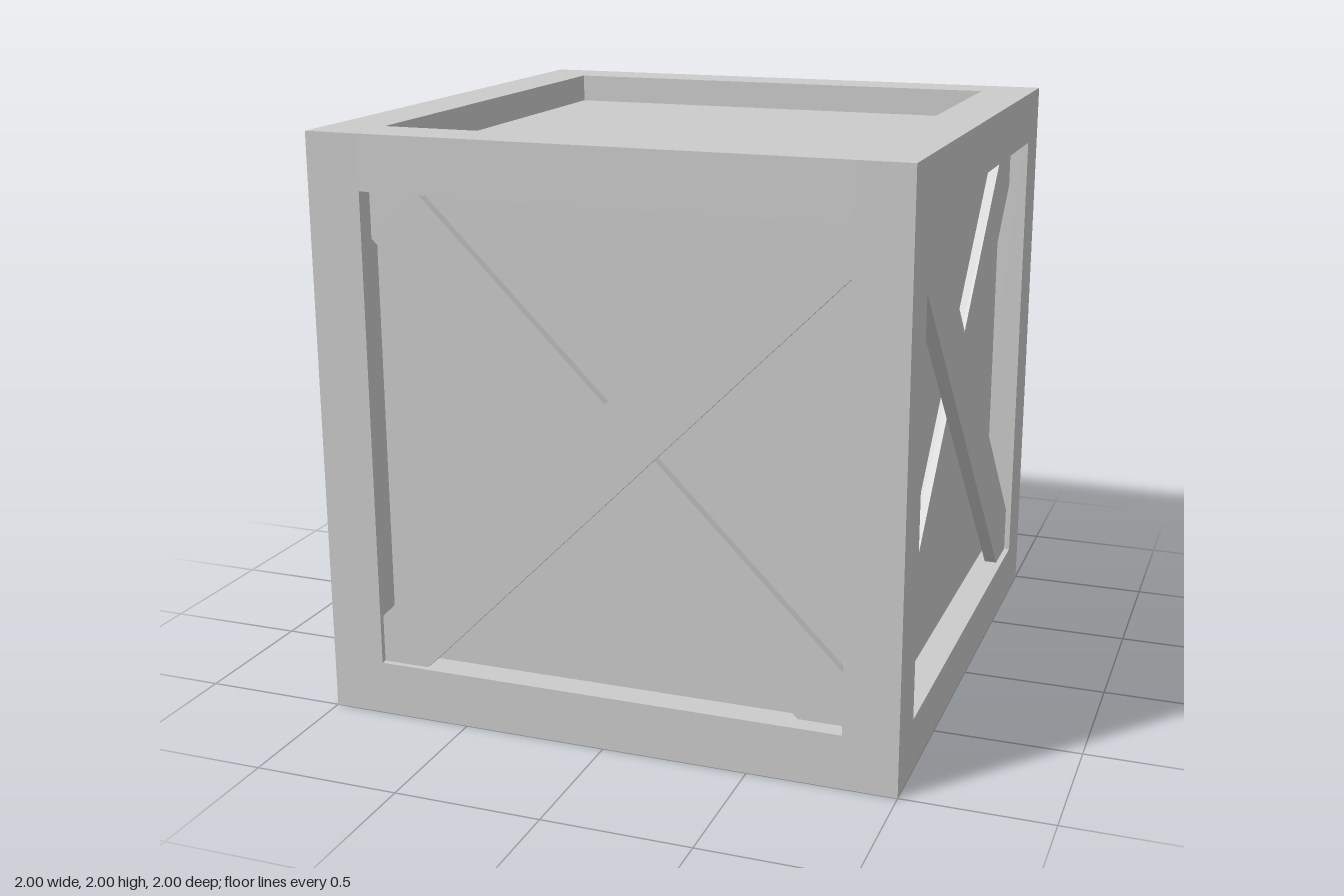
import * as THREE from 'three';

const OUT = 1, IN = 0.815;          // frame outer and inner half sizes
const BEAM = OUT - IN;
const PANEL = 0.9;                  // panel half size
const OVER = 0.98, UNDER = 0.935;   // front planes of the crossing braces
const BAND = 0.165;                 // brace width measured along an axis

export function createModel() {
  const wood = new THREE.MeshStandardMaterial({ color: 0xcccccc });
  wood.name = 'grey';
  const crate = new THREE.Group();
  crate.name = 'crate';

  const box = (name, w, h, d, x, y, z) => {
    const mesh = new THREE.Mesh(new THREE.BoxGeometry(w, h, d), wood);
    mesh.name = name;
    mesh.position.set(x, y, z);
    crate.add(mesh);
  };

  // Recessed panels on all six sides
  box('panels', 2 * PANEL, 2 * PANEL, 2 * PANEL, 0, 1, 0);

  // Corner posts and the horizontal rails between them
  const c = OUT - BEAM / 2;
  for (const a of [-c, c]) {
    for (const b of [-c, c]) {
      box('cornerPost', BEAM, 2 * OUT, BEAM, a, 1, b);
      box('crossRail', 2 * IN, BEAM, BEAM, 0, 1 + a, b);
      box('sideRail', BEAM, BEAM, 2 * IN, a, 1 + b, 0);
    }
  }

  // Diagonal brace trimmed to the opening; s = 1 rises to the right, -1 to the left
  const e = IN, k = IN - BAND;
  const brace = (name, s, front, back) => {
    const shape = new THREE.Shape(
      [[-e, -k], [-e, -e], [-k, -e], [e, k], [e, e], [k, e]].map(([x, y]) => new THREE.Vector2(s * x, y))
    );
    const geo = new THREE.ExtrudeGeometry(shape, { depth: front - back, bevelEnabled: false });
    geo.translate(0, 0, back);
    const mesh = new THREE.Mesh(geo, wood);
    mesh.name = name;
    return mesh;
  };

  // Crossed braces on the four upright sides
  const sides = [
    ['front', 0, 1],
    ['left', Math.PI / 2, -1],
    ['back', Math.PI, -1],
    ['right', -Math.PI / 2, 1],
  ];
  for (const [name, angle, s] of sides) {
    const cross = new THREE.Group();
    cross.name = name + 'Braces';
    cross.add(brace('outerBrace', s, OVER, UNDER), brace('innerBrace', -s, UNDER, PANEL));
    cross.rotation.y = angle;
    cross.position.y = 1;
    crate.add(cross);
  }
  return crate;
}
